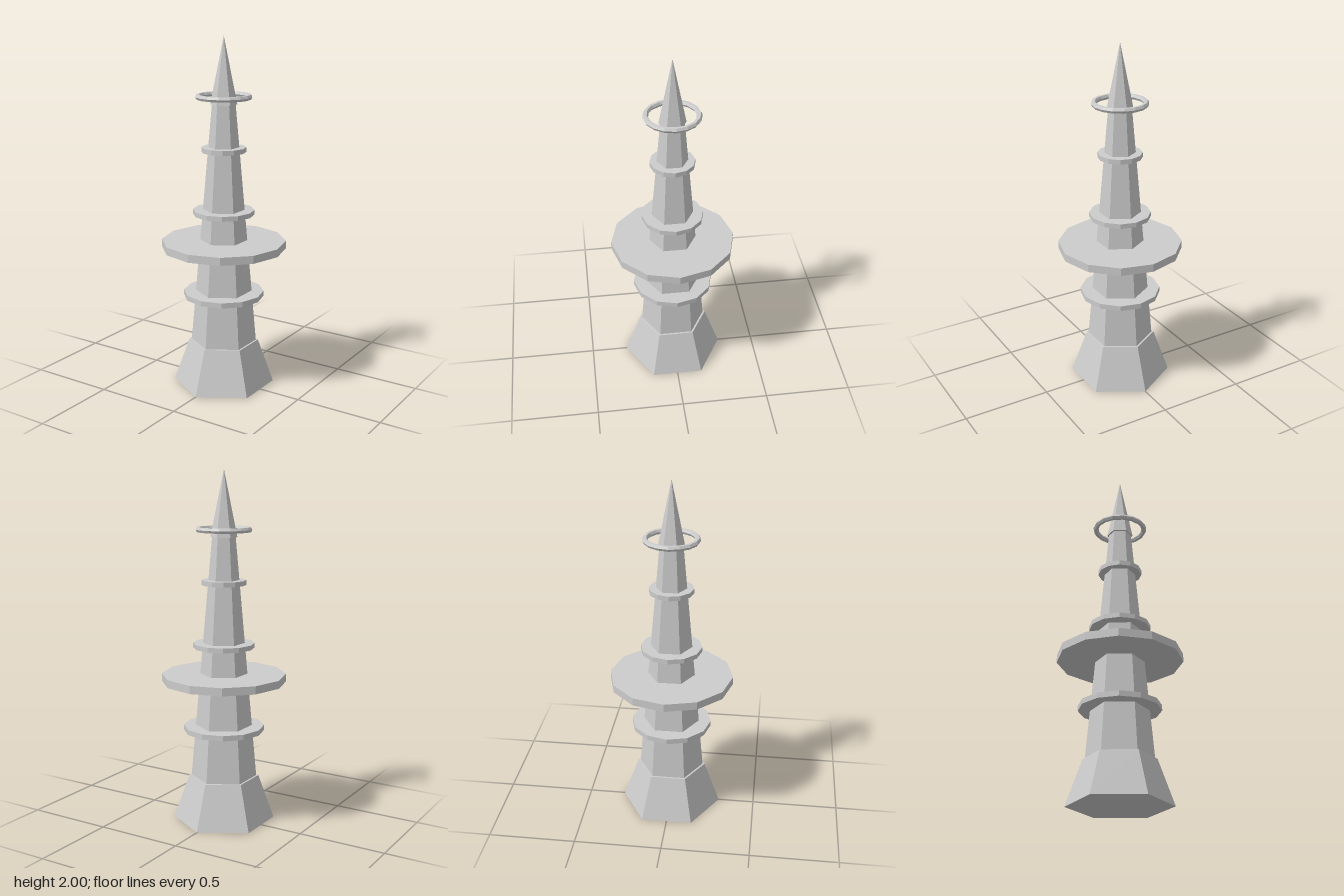
import * as THREE from 'three';

export function createModel() {
  const group = new THREE.Group();
  const grey = new THREE.MeshStandardMaterial({ color: 0xcccccc, flatShading: true });
  grey.name = 'light grey';

  const add = (name, geometry, y) => {
    const mesh = new THREE.Mesh(geometry, grey);
    mesh.name = name;
    mesh.position.y = y;
    group.add(mesh);
    return mesh;
  };

  // Tapered prism between two heights, one corner facing front
  const prism = (name, y0, y1, r0, r1, sides) =>
    add(name, new THREE.CylinderGeometry(r1, r0, y1 - y0, sides), (y0 + y1) / 2);

  // Hexagonal tower
  prism('base', 0, 0.255, 0.29, 0.2, 6);
  prism('shaft', 0.25, 1.635, 0.188, 0.065, 6);
  add('spire', new THREE.ConeGeometry(0.075, 0.37, 6), 1.815);

  // Twelve-sided platforms
  prism('lowerDeck', 0.527, 0.557, 0.23, 0.23, 12);
  prism('mainDeck', 0.814, 0.859, 0.353, 0.353, 12);
  prism('upperDeck', 1.01, 1.037, 0.174, 0.174, 12);
  prism('topDeck', 1.366, 1.393, 0.125, 0.125, 12);

  // Floating ring around the spire
  const ring = add('ring', new THREE.TorusGeometry(0.143, 0.0155, 6, 16), 1.672);
  ring.rotation.x = Math.PI / 2;

  return group;
}
